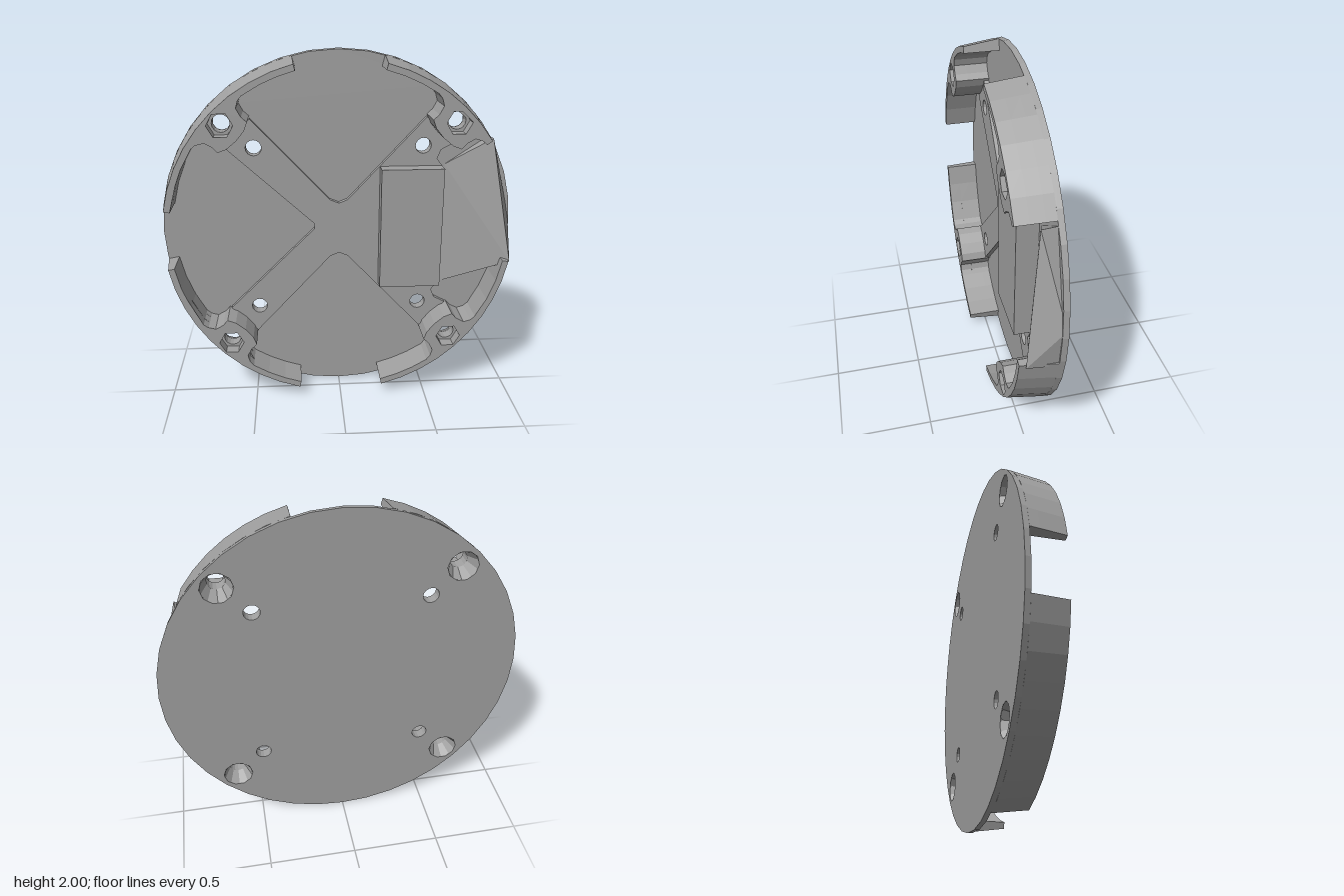
import * as THREE from 'three';
import { ConvexGeometry } from 'three/addons/geometries/ConvexGeometry.js';

const BACK = -0.11, FLOOR = -0.08, WEB = -0.05, FRONT = 0.11;
const SCREW = 0.63, PIN = 0.47; // hole offsets along x and y
const rad = THREE.MathUtils.degToRad;
const polar = (r, deg) => new THREE.Vector2(r * Math.cos(rad(deg)), r * Math.sin(rad(deg)));

function arc(r, from, to, step = 9) {
  const n = Math.max(2, Math.ceil(Math.abs(to - from) / step));
  return Array.from({ length: n + 1 }, (_, i) => polar(r, from + (to - from) * i / n));
}

// Round or polygonal hole
function hole(x, y, r, sides = 16) {
  const points = [];
  for (let i = 0; i < sides; i++) points.push(polar(r, -i * 360 / sides).add(new THREE.Vector2(x, y)));
  return new THREE.Path(points);
}

// Extrude an outline between two depths, narrowing the outer wall towards the front
function slab(points, holes, z0, z1) {
  const shape = new THREE.Shape(points);
  shape.holes = holes;
  const geo = new THREE.ExtrudeGeometry(shape, { depth: z1 - z0, bevelEnabled: false });
  geo.translate(0, 0, z0);
  const p = geo.attributes.position;
  for (let i = 0; i < p.count; i++) {
    const x = p.getX(i), y = p.getY(i), z = p.getZ(i);
    if (Math.hypot(x, y) < 0.985) continue;
    const k = 1 - 0.03 * (z - BACK) / (FRONT - BACK);
    p.setXY(i, x * k, y * k);
  }
  geo.computeVertexNormals();
  return geo;
}

export function createModel() {
  const model = new THREE.Group();
  const disc = new THREE.Group();
  disc.name = 'disc';
  disc.position.y = 1;
  model.add(disc);
  const grey = new THREE.MeshStandardMaterial({ color: 0xa0a0a0, flatShading: true, side: THREE.DoubleSide });
  grey.name = 'grey';
  const add = (name, geo) => {
    const mesh = new THREE.Mesh(geo, grey);
    mesh.name = name;
    disc.add(mesh);
    return mesh;
  };

  const corners = [[1, 1], [-1, 1], [-1, -1], [1, -1]];
  const pinHoles = () => corners.map(([x, y]) => hole(x * PIN, y * (PIN + 0.005), 0.044));

  // Thin back plate, forming the pocket floors
  add('backPlate', slab(arc(1, 0, 360).slice(0, -1),
    [...pinHoles(), ...corners.map(([x, y]) => hole(x * SCREW, y * SCREW, 0.085, 10))], BACK, FLOOR));

  // Raised cross, filled out on its left side
  const half = [[0, 0.15], [0.05, 0.17], [0.485, 0.635], [0.635, 0.485], [0.57, 0.45], [0.55, 0.4], [0.58, 0.36]];
  const web = [
    ...half, ...half.map(([x, y]) => [x, -y]).reverse(),
    [-0.05, -0.17], [-0.485, -0.635], [-0.635, -0.485], [-0.14, 0],
    [-0.14, 0.03], [-0.635, 0.485], [-0.485, 0.635], [-0.05, 0.17],
  ].map(([x, y]) => new THREE.Vector2(x, y));
  add('cross', slab(web.reverse(), pinHoles(), FLOOR, WEB));

  // Rectangular raised pad
  const pad = new THREE.BoxGeometry(0.35, 0.7, 0.035 - FLOOR);
  pad.translate(0.405, 0.01, (0.035 + FLOOR) / 2);
  add('pad', pad);

  // Four rim sections, each with a screw boss
  const rims = [[33, 75.5], [104.5, 170], [190, 255.5], [284.5, 350]];
  const boss = [[10, 0.925], [8, 0.9], [7.5, 0.85], [8, 0.81], [5, 0.785], [0, 0.775],
    [-5, 0.785], [-8, 0.81], [-7.5, 0.85], [-8, 0.9], [-10, 0.925]];
  rims.forEach(([from, to], i) => {
    const mid = 45 + 90 * i;
    const [sx, sy] = corners[i];
    const outline = [
      ...arc(1, from, to, 8),
      ...arc(0.935, to, mid + 12), ...boss.map(([d, r]) => polar(r, mid + d)),
      ...arc(0.935, mid - 12, from),
    ];
    // Deduplicate where a section ends close to its boss
    if (from > mid - 12.01) outline.splice(-3, 3, polar(0.935, from));
    const layers = [
      [FLOOR, -0.03, 0.085, 10], // countersink
      [-0.03, 0.04, 0.048, 16],  // screw hole
      [0.04, FRONT, 0.07, 6],    // nut recess
    ];
    layers.forEach(([z0, z1, r, sides]) =>
      add('rimSection', slab(outline, [hole(sx * SCREW, sy * SCREW, r, sides)], z0, z1)));

    const cone = new THREE.LatheGeometry(
      [new THREE.Vector2(0.085, BACK), new THREE.Vector2(0.048, -0.03)], 10);
    cone.rotateX(Math.PI / 2);
    add('countersink', cone).position.set(sx * SCREW, sy * SCREW, 0);
  });

  // Sloping floor rising to a ridge beside the pad
  add('slopedFloor', new ConvexGeometry([
    [0.6, 0.36, FLOOR], [0.6, -0.36, FLOOR], [0.85, 0.52, 0], [0.97, -0.18, 0.08],
    [0.84, 0.52, -0.1], [0.995, 0.04, -0.1], [0.97, -0.2, -0.1], [0.6, 0, -0.1],
  ].map(p => new THREE.Vector3(...p))));

  return model;
}
